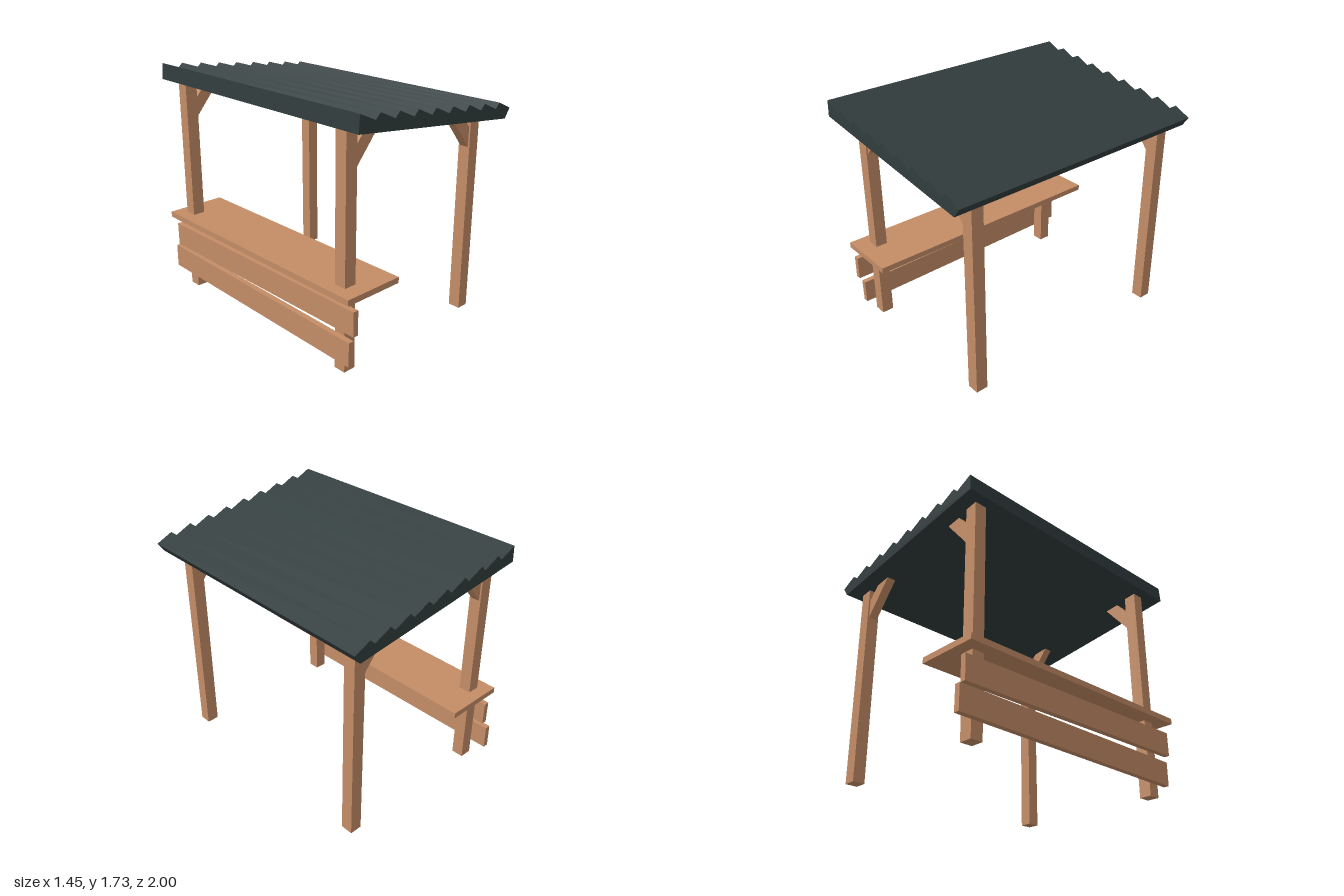
import * as THREE from 'three';

export function createModel() {
  const model = new THREE.Group();
  const wood = new THREE.MeshStandardMaterial({ color: 0xc48d66, flatShading: true });
  const metal = new THREE.MeshStandardMaterial({ color: 0x323d3e, flatShading: true });

  const add = (name, geometry, material) => {
    const mesh = new THREE.Mesh(geometry, material);
    mesh.name = name;
    model.add(mesh);
    return mesh;
  };

  // Box given by its low and high limits on each axis
  const board = (name, [x0, x1], [y0, y1], [z0, z1], tilt = 0) => {
    const mesh = add(name, new THREE.BoxGeometry(x1 - x0, y1 - y0, z1 - z0), wood);
    mesh.position.set((x0 + x1) / 2, (y0 + y1) / 2, (z0 + z1) / 2);
    mesh.rotation.x = tilt;
    return mesh;
  };

  // Front-facing outline extruded between two depths
  const prism = (name, points, z0, z1, material) => {
    const shape = new THREE.Shape(points.map(([x, y]) => new THREE.Vector2(x, y)));
    const geometry = new THREE.ExtrudeGeometry(shape, { depth: z1 - z0, bevelEnabled: false });
    return add(name, geometry.translate(0, 0, z0), material);
  };

  // Posts and diagonal braces, one pair at each end
  for (const [end, z] of [['front', 0.793], ['back', -0.832]]) {
    const depth = [z - 0.044, z + 0.044];
    board(end + 'RightPost', [-0.64, -0.55], [0, 1.605], depth);
    board(end + 'LeftPost', [0.527, 0.615], [0.018, 1.475], depth);
    prism(end + 'RightBrace',
      [[-0.55, 1.335], [-0.35, 1.575], [-0.45, 1.595], [-0.55, 1.475]], z - 0.032, z + 0.032, wood);
    prism(end + 'LeftBrace',
      [[0.527, 1.245], [0.527, 1.385], [0.43, 1.49], [0.32, 1.495]], z - 0.032, z + 0.032, wood);
  }

  // Counter and the two slightly crooked planks below it
  board('counter', [-0.728, -0.282], [0.552, 0.593], [-0.963, 0.953]);
  board('upperPlank', [-0.68, -0.64], [0.317, 0.489], [-0.96, 0.953], -0.006);
  board('lowerPlank', [-0.68, -0.64], [0.104, 0.277], [-0.998, 0.915], 0.013);

  // Sloping roof with a saw-tooth upper side
  const profile = [[-0.708, 1.61], [0.674, 1.45], [0.72, 1.517]];
  for (let i = 8; i >= 0; i--) {
    const x = -0.7 + i * 0.1625;
    const y = 1.725 - i * 0.0193;
    profile.push([x, y]);
    if (i > 0) profile.push([x - 0.038, y - 0.037]);
  }
  prism('roof', profile, -0.978, 1, metal);

  return model;
}
